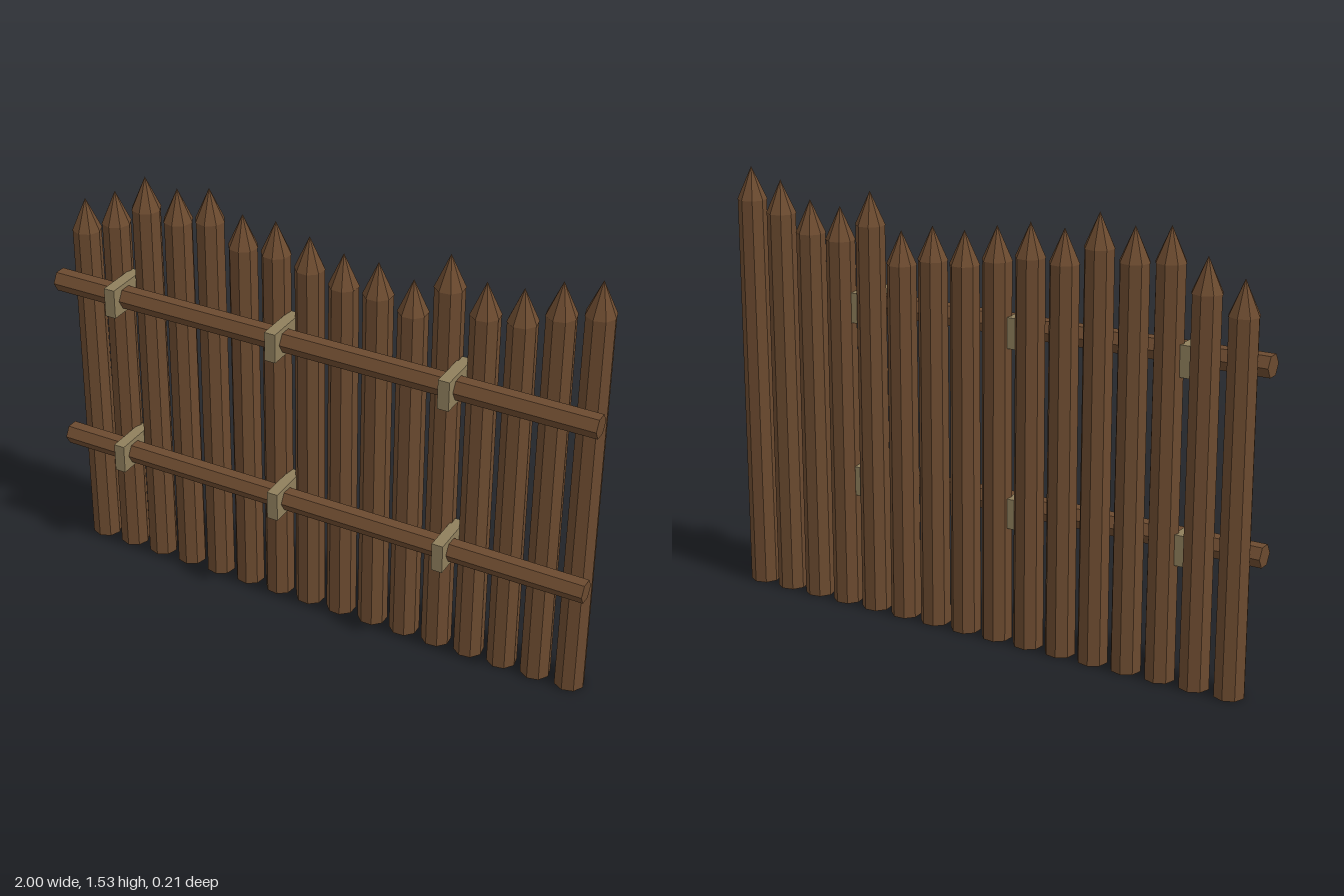
import * as THREE from 'three';

export function createModel() {
  const fence = new THREE.Group();
  fence.name = 'palisadeFence';

  const wood = new THREE.MeshStandardMaterial({ color: 0x6b4a2f, flatShading: true });
  wood.name = 'brown wood';
  const rope = new THREE.MeshStandardMaterial({ color: 0x8f7f5c, flatShading: true });
  rope.name = 'tan rope';

  function add(parent, geometry, material, name, x, y, z) {
    const mesh = new THREE.Mesh(geometry, material);
    mesh.name = name;
    mesh.position.set(x, y, z);
    parent.add(mesh);
    return mesh;
  }

  // Sharpened stakes of uneven height, each turned a little differently
  const tips = [1.37, 1.425, 1.505, 1.49, 1.52, 1.455, 1.46, 1.435,
    1.405, 1.405, 1.375, 1.495, 1.43, 1.44, 1.495, 1.53];
  const sides = 8, pointHeight = 0.115, spacing = 0.125;
  tips.forEach((tip, i) => {
    const stake = new THREE.Group();
    stake.name = 'stake' + (i + 1);
    stake.position.set((i - 7.5) * spacing, 0, -0.052);
    stake.rotation.y = i * 2.4;
    const h = tip - pointHeight;
    add(stake, new THREE.CylinderGeometry(0.05, 0.053, h, sides), wood, 'shaft', 0, h / 2, 0);
    add(stake, new THREE.ConeGeometry(0.052, pointHeight, sides), wood, 'point', 0, h + pointHeight / 2, 0);
    fence.add(stake);
  });

  // Hexagonal cross rails with square lashings reaching between the stakes
  const railGeometry = new THREE.CylinderGeometry(0.04, 0.04, 2, 6).rotateZ(Math.PI / 2);
  const lashingGeometry = new THREE.BoxGeometry(0.04, 0.105, 0.17);
  [['lower', 0.46], ['upper', 1.085]].forEach(([level, y]) => {
    add(fence, railGeometry, wood, level + 'Rail', 0, y, 0.038);
    [-0.75, -0.125, 0.5].forEach((x, i) => {
      add(fence, lashingGeometry, rope, level + 'Lashing' + (i + 1), x, y, 0.02);
    });
  });

  return fence;
}
